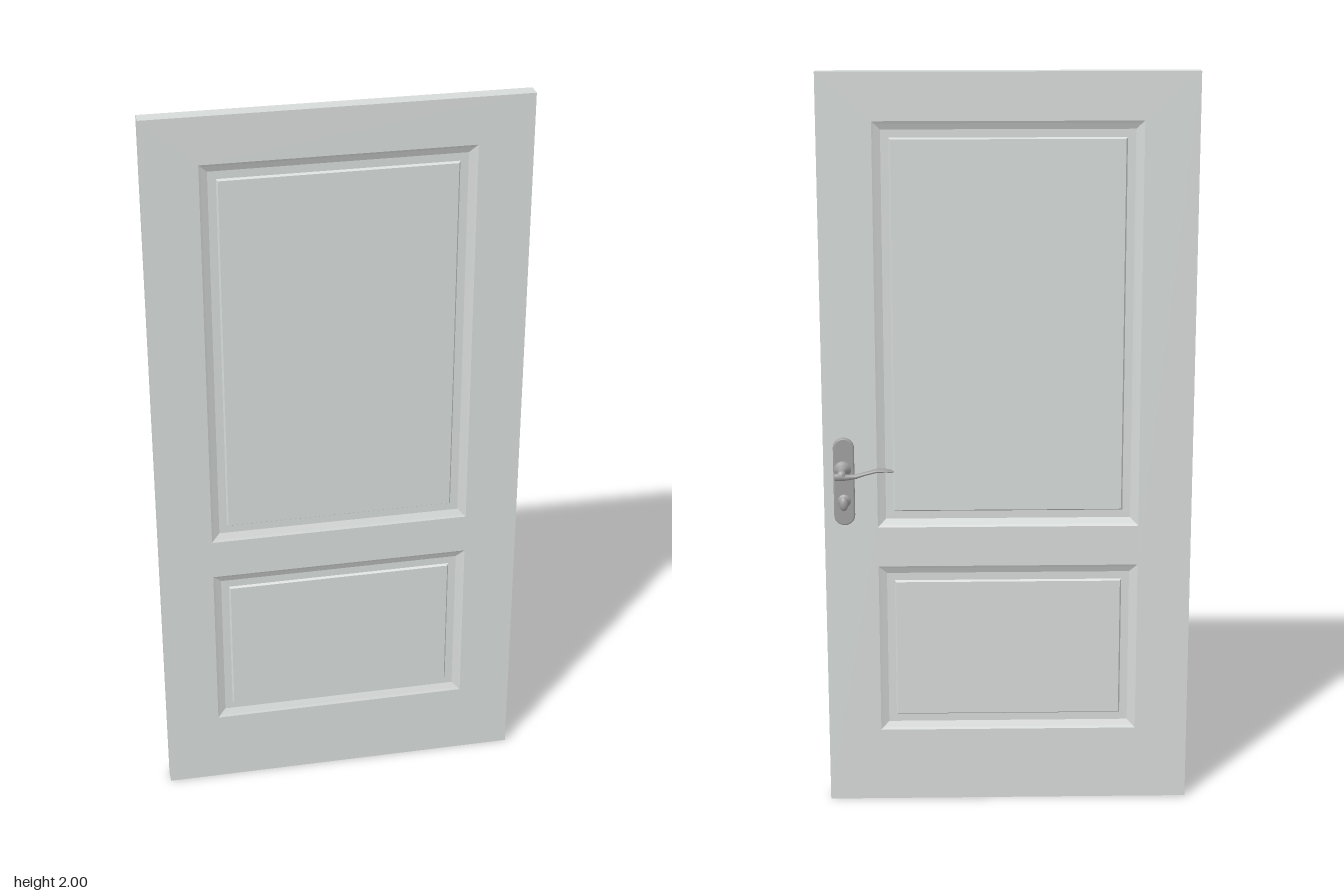
import * as THREE from 'three';

const W = 0.985, H = 2, T = 0.039;
const PANEL_HALF = 0.35;
const PANELS = [{ name: 'lower', y0: 0.205, y1: 0.68 }, { name: 'upper', y0: 0.79, y1: 1.875 }];

// Joins closed rings of [x, y, z] points into a skin
function loft(rings, smooth) {
  const n = rings[0].length, index = [];
  for (let r = 0; r < rings.length - 1; r++) {
    for (let i = 0; i < n; i++) {
      const j = (i + 1) % n, a = r * n + i, b = r * n + j;
      index.push(a, b, b + n, a, b + n, a + n);
    }
  }
  let geo = new THREE.BufferGeometry();
  geo.setAttribute('position', new THREE.Float32BufferAttribute(rings.flat(2), 3));
  geo.setIndex(index);
  if (!smooth) geo = geo.toNonIndexed();
  geo.computeVertexNormals();
  return geo;
}

const rect = (hw, y0, y1, z) => [[-hw, y0, z], [hw, y0, z], [hw, y1, z], [-hw, y1, z]];

function rectPath(path, hw, y0, y1) {
  path.moveTo(-hw, y0).lineTo(hw, y0).lineTo(hw, y1).lineTo(-hw, y1).closePath();
  return path;
}

function add(parent, name, geo, mat) {
  const mesh = new THREE.Mesh(geo, mat);
  mesh.name = name;
  parent.add(mesh);
  return mesh;
}

// Turned part standing out along +z
function turned(points) {
  const geo = new THREE.LatheGeometry(points.map(p => new THREE.Vector2(...p)), 24);
  return geo.rotateX(Math.PI / 2);
}

// One door face with two moulded, raised panels
function doorSide(name, mat) {
  const side = new THREE.Group();
  side.name = name;
  const z = T / 2;
  const shape = rectPath(new THREE.Shape(), W / 2, 0, H);
  for (const p of PANELS) shape.holes.push(rectPath(new THREE.Path(), PANEL_HALF, p.y0, p.y1));
  add(side, 'frameFace', new THREE.ShapeGeometry(shape).translate(0, 0, z), mat);

  // Moulding profile: inset from the panel edge, depth
  const profile = [[0, 0], [0.006, -0.003], [0.022, -0.01], [0.043, -0.01], [0.047, -0.004]];
  for (const p of PANELS) {
    const rings = profile.map(([d, dz]) => rect(PANEL_HALF - d, p.y0 + d, p.y1 - d, z + dz));
    add(side, p.name + 'Moulding', loft(rings), mat);
    const d = 0.047;
    const plate = new THREE.PlaneGeometry(2 * (PANEL_HALF - d), p.y1 - p.y0 - 2 * d);
    add(side, p.name + 'Panel', plate.translate(0, (p.y0 + p.y1) / 2, z - 0.004), mat);
  }
  return side;
}

function handleSet(mat) {
  const handle = new THREE.Group();
  handle.name = 'handleSet';

  // Backplate with round ends
  const r = 0.024, plate = new THREE.Shape();
  plate.absarc(0, 1.037 - r, r, 0, Math.PI, false);
  plate.absarc(0, 0.803 + r, r, Math.PI, Math.PI * 2, false);
  plate.closePath();
  add(handle, 'backplate', new THREE.ExtrudeGeometry(plate, {
    depth: 0.005, bevelEnabled: true, bevelThickness: 0.004, bevelSize: 0.004, bevelSegments: 2, curveSegments: 12,
  }), mat);

  // Stepped collar and shank
  const shank = add(handle, 'shank', turned([
    [0.023, 0.008], [0.022, 0.014], [0.016, 0.017], [0.015, 0.023], [0.01, 0.029],
    [0.009, 0.04], [0.011, 0.052], [0.012, 0.064], [0.009, 0.071], [0, 0.073],
  ]), mat);
  shank.position.set(-0.003, 0.955, 0);

  // Wavy lever: x, y, z, half height, half depth
  const stations = [
    [-0.022, 0.951, 0.068, 0.0005, 0.0005], [-0.021, 0.951, 0.068, 0.009, 0.007],
    [-0.008, 0.951, 0.066, 0.011, 0.009], [0.01, 0.949, 0.064, 0.008, 0.007],
    [0.035, 0.951, 0.063, 0.006, 0.007], [0.06, 0.959, 0.063, 0.005, 0.009],
    [0.09, 0.967, 0.063, 0.005, 0.011], [0.115, 0.967, 0.063, 0.004, 0.013],
    [0.13, 0.965, 0.063, 0.003, 0.01], [0.136, 0.964, 0.063, 0.0005, 0.001],
  ];
  const rings = stations.map(([x, y, z, ry, rz]) => Array.from({ length: 16 }, (_, i) => {
    const a = i / 16 * Math.PI * 2;
    return [x, y + ry * Math.cos(a), z + rz * Math.sin(a)];
  }));
  add(handle, 'lever', loft(rings, true), mat);

  // Thumb turn on its own collar
  const stem = add(handle, 'thumbTurnStem', turned([
    [0.018, 0.008], [0.017, 0.013], [0.009, 0.016], [0.007, 0.032], [0, 0.034],
  ]), mat);
  stem.position.set(0, 0.868, 0);
  const knob = add(handle, 'thumbTurnKnob', new THREE.SphereGeometry(1, 20, 12), mat);
  knob.scale.set(0.012, 0.019, 0.01);
  knob.position.set(0, 0.868, 0.038);
  return handle;
}

export function createModel() {
  const paint = new THREE.MeshStandardMaterial({ color: 0xd6dad8 });
  paint.name = 'paleGreyPaint';
  const metal = new THREE.MeshStandardMaterial({ color: 0xa0a0a0 });
  metal.name = 'greyMetal';

  const door = new THREE.Group();
  door.name = 'door';
  const front = doorSide('frontSide', paint);
  const back = doorSide('backSide', paint);
  back.rotation.y = Math.PI;
  door.add(front, back);

  // Outer edges of the slab
  add(door, 'edges', loft([rect(W / 2, 0, H, -T / 2), rect(W / 2, 0, H, T / 2)]), paint);

  const handle = handleSet(metal);
  handle.rotation.y = Math.PI;
  handle.position.set(0.438, 0, -T / 2);
  door.add(handle);

  // The door stands ajar
  door.rotation.y = -0.598;
  door.position.x = -0.007;

  const model = new THREE.Group();
  model.name = 'panelDoor';
  model.add(door);
  return model;
}
